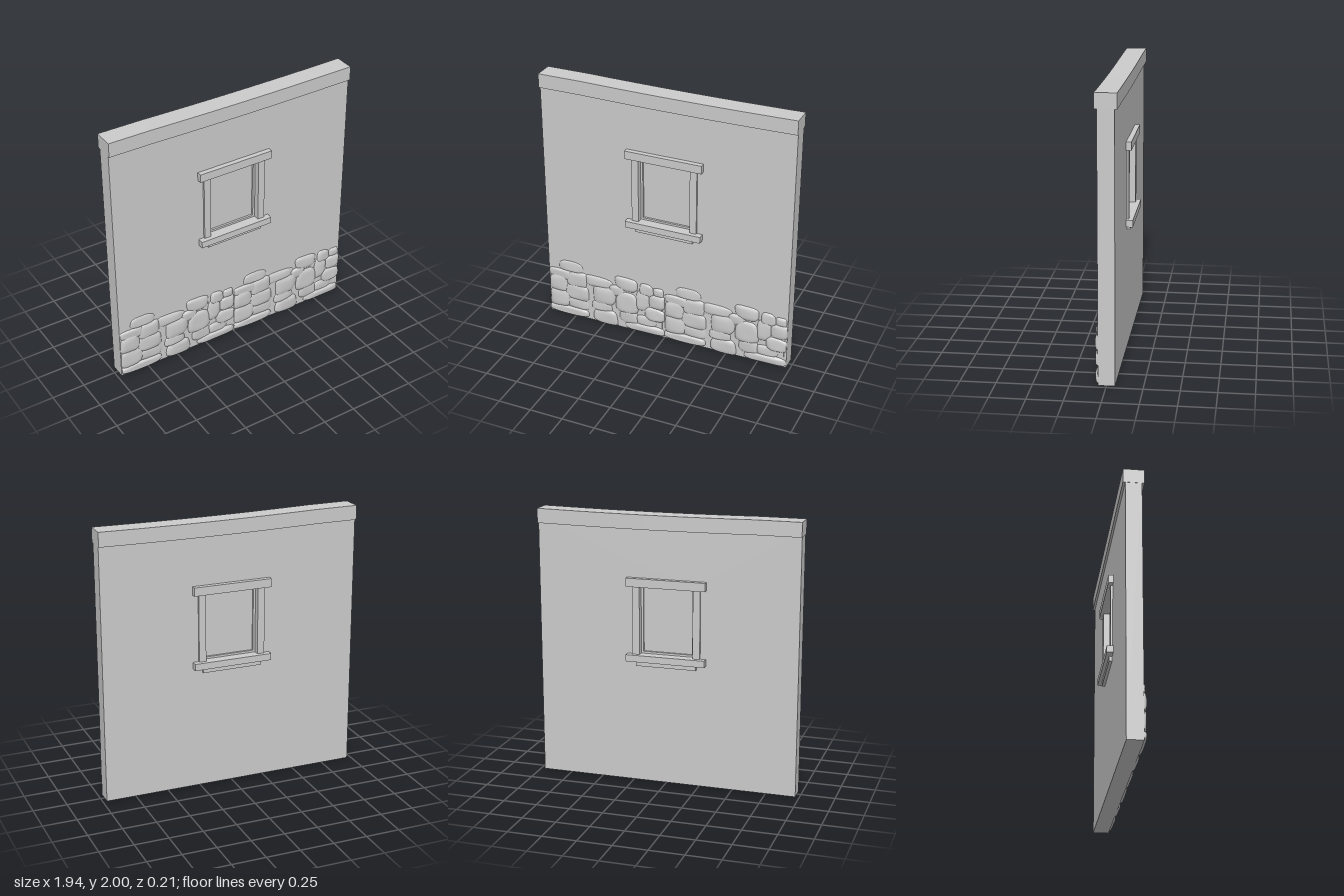
import * as THREE from 'three';

const material = new THREE.MeshStandardMaterial({ color: 0xcccccc });

function add(parent, name, geometry) {
  const mesh = new THREE.Mesh(geometry, material);
  mesh.name = name;
  parent.add(mesh);
  return mesh;
}

// Box given by its x range, y range and half depth
function block(parent, name, x0, x1, y0, y1, halfZ) {
  const mesh = add(parent, name, new THREE.BoxGeometry(x1 - x0, y1 - y0, halfZ * 2));
  mesh.position.set((x0 + x1) / 2, (y0 + y1) / 2, 0);
  return mesh;
}

// Rectangular panel with a rectangular hole, centred on z = 0
function panelWithHole(parent, name, [x, y0, y1], [hx, hy0, hy1], halfZ) {
  const rect = (P, w, a, b) => new P([[-w, a], [w, a], [w, b], [-w, b]].map(p => new THREE.Vector2(...p)));
  const shape = rect(THREE.Shape, x, y0, y1);
  shape.holes.push(rect(THREE.Path, hx, hy0, hy1));
  const geo = new THREE.ExtrudeGeometry(shape, { depth: halfZ * 2, bevelEnabled: false });
  return add(parent, name, geo.translate(0, 0, -halfZ));
}

// Gently sagging beam along the top of the wall
function beamGeometry() {
  const geo = new THREE.BoxGeometry(1.944, 0.106, 0.15, 12, 1, 1).translate(0, 1.947, 0);
  const p = geo.attributes.position;
  for (let i = 0; i < p.count; i++) {
    const t = (p.getX(i) - 0.15) / 0.8;
    const sag = Math.max(0, 1 - t * t);
    p.setY(i, p.getY(i) - sag * 0.008);
  }
  geo.computeVertexNormals();
  return geo;
}

// Flattened, squarish, slightly irregular boulder kept inside its tile
function stoneGeometry(x, y, w, h, bulge, seed) {
  const geo = new THREE.SphereGeometry(1, 28, 18);
  const p = geo.attributes.position;
  const squash = v => Math.sign(v) * Math.pow(Math.abs(v), 0.62);
  for (let i = 0; i < p.count; i++) {
    const a = p.getX(i), b = p.getY(i), c = p.getZ(i);
    const angle = Math.atan2(b, a);
    const r = Math.hypot(a, b);
    const wobble = 1 + r * (0.05 * Math.sin(2 * angle + seed * 1.7) + 0.05 * Math.sin(3 * angle + seed * 2.9));
    const px = x + squash(a) * wobble * w / 2;
    const py = y + squash(b) * wobble * h / 2;
    const lump = 1 + 0.1 * Math.sin(a * 3 + seed) * Math.cos(b * 3 + seed * 2);
    p.setXYZ(i, THREE.MathUtils.clamp(px, 0.003, 0.969), Math.max(py, 0), 0.045 + squash(c) * lump * bulge);
  }
  geo.computeVertexNormals();
  return geo;
}

// Stones of one tile: x, y, width, height, bulge
const STONES = [
  [0.19, 0.435, 0.20, 0.10, 0.025], [0.10, 0.355, 0.20, 0.09, 0.029],
  [0.08, 0.27, 0.17, 0.15, 0.034], [0.24, 0.33, 0.18, 0.15, 0.030],
  [0.42, 0.355, 0.24, 0.10, 0.027], [0.24, 0.22, 0.22, 0.14, 0.033],
  [0.09, 0.14, 0.19, 0.16, 0.035], [0.17, 0.042, 0.34, 0.075, 0.040],
  [0.24, 0.12, 0.20, 0.11, 0.029], [0.48, 0.06, 0.22, 0.13, 0.037],
  [0.47, 0.25, 0.20, 0.18, 0.035], [0.45, 0.15, 0.17, 0.10, 0.033],
  [0.655, 0.395, 0.19, 0.12, 0.030], [0.66, 0.23, 0.20, 0.18, 0.037],
  [0.58, 0.32, 0.14, 0.10, 0.030], [0.82, 0.385, 0.11, 0.11, 0.029],
  [0.92, 0.385, 0.09, 0.08, 0.026], [0.79, 0.28, 0.12, 0.17, 0.032],
  [0.91, 0.30, 0.13, 0.13, 0.034], [0.89, 0.185, 0.17, 0.12, 0.037],
  [0.68, 0.11, 0.17, 0.12, 0.032], [0.82, 0.11, 0.18, 0.10, 0.031],
  [0.81, 0.042, 0.32, 0.08, 0.039],
];

export function createModel() {
  const model = new THREE.Group();
  model.name = 'wallSection';

  // Wall and top beam
  panelWithHole(model, 'wall', [0.97, 0, 1.94], [0.2, 0.97, 1.475], 0.058);
  add(model, 'topBeam', beamGeometry());

  // Window, identical on both faces
  const win = new THREE.Group();
  win.name = 'window';
  model.add(win);
  block(win, 'lintel', -0.295, 0.295, 1.472, 1.535, 0.095);
  block(win, 'sill', -0.295, 0.295, 0.92, 0.97, 0.105);
  block(win, 'apron', -0.225, 0.225, 0.885, 0.92, 0.08);
  block(win, 'leftJamb', 0.2, 0.253, 0.97, 1.472, 0.073);
  block(win, 'rightJamb', -0.253, -0.2, 0.97, 1.472, 0.073);
  panelWithHole(win, 'sash', [0.2, 0.97, 1.475], [0.184, 0.985, 1.457], 0.028);
  block(win, 'pane', -0.19, 0.19, 0.98, 1.465, 0.012);

  // Stone base: the same tile laid twice along the front
  for (const [name, x0] of [['rightStones', -0.97], ['leftStones', 0]]) {
    const tile = new THREE.Group();
    tile.name = name;
    tile.position.x = x0;
    STONES.forEach(([x, y, w, h, bulge], i) => add(tile, 'stone', stoneGeometry(x, y, w, h, bulge, i + 1)));
    const bed = block(tile, 'mortarBed', 0.02, 0.95, 0.02, 0.36, 0.008);
    bed.position.z = 0.055;
    model.add(tile);
  }
  return model;
}
